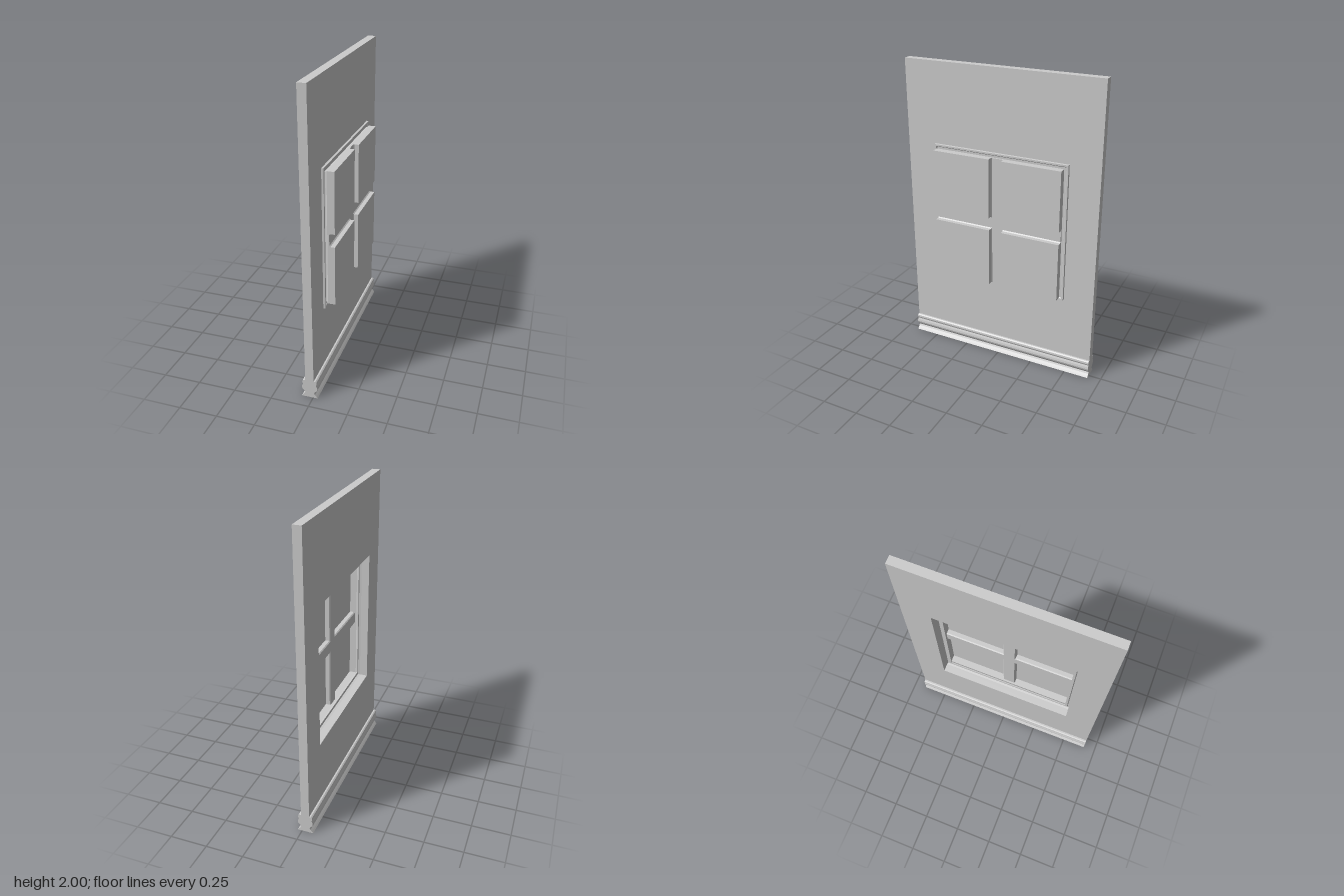
import * as THREE from 'three';

const HALF_Z = 0.665, WALL_X = -0.05, WALL_T = 0.055;
const WIN_Y = 1.0025, OPEN = 0.465, PANE = 0.44;

const solid = new THREE.MeshStandardMaterial({ color: 0xcccccc, flatShading: true });
const sheet = new THREE.MeshStandardMaterial({ color: 0xcccccc, flatShading: true, side: THREE.DoubleSide });

function add(parent, name, geometry, material) {
  const mesh = new THREE.Mesh(geometry, material);
  mesh.name = name;
  parent.add(mesh);
  return mesh;
}

function rectPoints(u0, v0, u1, v1) {
  return [[u0, v0], [u1, v0], [u1, v1], [u0, v1]].map(p => new THREE.Vector2(...p));
}

// Sheet through rectangular rings [depth, u0, v0, u1, v1], optionally closed at the end
function loftRects(rings, capped) {
  const pos = [];
  const loops = rings.map(([d, ...r]) => rectPoints(...r).map(p => [p.x, p.y, d]));
  for (let i = 0; i < loops.length - 1; i++) {
    for (let k = 0; k < 4; k++) {
      const n = (k + 1) % 4;
      const a = loops[i][k], b = loops[i][n], c = loops[i + 1][n], d = loops[i + 1][k];
      pos.push(...a, ...b, ...c, ...a, ...c, ...d);
    }
  }
  if (capped) {
    const [a, b, c, d] = loops[loops.length - 1];
    pos.push(...a, ...b, ...c, ...a, ...c, ...d);
  }
  const g = new THREE.BufferGeometry();
  g.setAttribute('position', new THREE.Float32BufferAttribute(pos, 3));
  g.computeVertexNormals();
  return g.rotateY(Math.PI / 2);
}

export function createModel() {
  const model = new THREE.Group();
  model.name = 'wallWithWindow';

  // Wall slab with a square opening
  const wall = new THREE.Shape(rectPoints(-HALF_Z, 0, HALF_Z, 2));
  wall.holes.push(new THREE.Path(
    rectPoints(-OPEN, WIN_Y - OPEN, OPEN, WIN_Y + OPEN).reverse()));
  const wallGeo = new THREE.ExtrudeGeometry(wall, { depth: WALL_T, bevelEnabled: false });
  add(model, 'wall', wallGeo.rotateY(Math.PI / 2).translate(WALL_X, 0, 0), solid);

  // Skirting moulding, the same on both faces of the wall
  const half = [[0.0525, 0], [0.045, 0.01], [0.035, 0.022], [0.029, 0.033], [0.036, 0.045],
    [0.048, 0.056], [0.051, 0.068], [0.048, 0.082], [0.043, 0.094], [0.048, 0.106],
    [0.046, 0.118], [0.038, 0.124]];
  const profile = [...half, ...half.map(([x, y]) => [-x, y]).reverse()];
  const skirting = new THREE.ExtrudeGeometry(
    new THREE.Shape(profile.map(p => new THREE.Vector2(...p))),
    { depth: 2 * HALF_Z, bevelEnabled: false });
  add(model, 'skirting', skirting.translate(WALL_X + WALL_T / 2, 0, -HALF_Z), solid);

  // Window: a moulded shell, hollow behind
  const win = new THREE.Group();
  win.name = 'window';
  win.position.y = WIN_Y;
  model.add(win);

  // Frame: raised rim, shallow groove, then the outer side of the panes
  const rim = [[0.003, 0.465], [0.018, 0.463], [0.018, 0.452], [0.012, 0.447],
    [0.012, 0.432], [0.02, 0.433], [0.028, PANE], [0.04, PANE]];
  add(win, 'windowFrame', loftRects(rim.map(([d, s]) => [d, -s, -s, s, s])), sheet);

  // Glazing bars: floor of the cross-shaped channel
  const b = 0.037;
  const cross = new THREE.Shape([[-b, -PANE], [b, -PANE], [b, -b], [PANE, -b], [PANE, b], [b, b],
    [b, PANE], [-b, PANE], [-b, b], [-PANE, b], [-PANE, -b], [-b, -b]]
    .map(p => new THREE.Vector2(...p)));
  add(win, 'glazingBars',
    new THREE.ShapeGeometry(cross).rotateY(Math.PI / 2).translate(0.04, 0, 0), sheet);

  // Four raised panes
  for (const su of [-1, 1]) {
    for (const sv of [-1, 1]) {
      const rings = [[0.04, b], [0.047, 0.043], [0.075, 0.043]].map(([d, i]) => {
        const [u0, u1] = su > 0 ? [i, PANE] : [-PANE, -i];
        const [v0, v1] = sv > 0 ? [i, PANE] : [-PANE, -i];
        return [d, u0, v0, u1, v1];
      });
      add(win, 'pane', loftRects(rings, true), sheet);
    }
  }
  return model;
}
